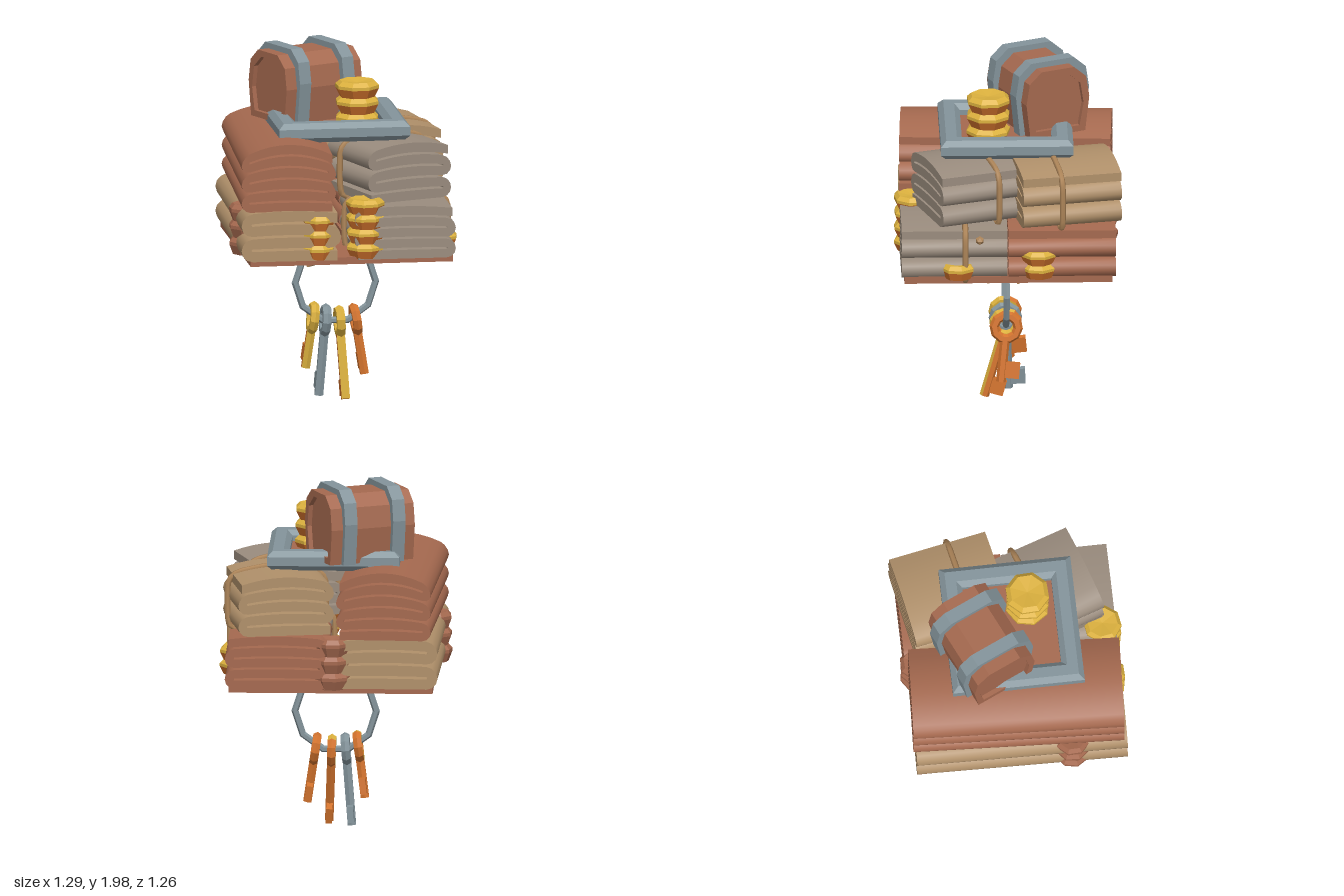
import * as THREE from 'three';
import { toCreasedNormals } from 'three/addons/utils/BufferGeometryUtils.js';

const mat = (name, color, side = THREE.FrontSide) => Object.assign(new THREE.MeshStandardMaterial({ color, side }), { name });
const brown = mat('brown cloth and wood', 0xa5694f);
const tan = mat('tan cloth', 0xb0906a);
const taupe = mat('taupe cloth', 0x9a8c7e);
const steel = mat('blue grey steel', 0x84949b);
const gold = mat('gold', 0xdcb13e);
const orange = mat('orange copper', 0xd4742e);
const rope = mat('rope', 0xb0875a);

function add(parent, name, geo, material, x = 0, y = 0, z = 0, ry = 0) {
  const m = new THREE.Mesh(geo, material);
  m.name = name;
  m.position.set(x, y, z);
  m.rotation.y = ry;
  parent.add(m);
  return m;
}

// Faceted copy of a geometry
function facet(geo) {
  const g = geo.index ? geo.toNonIndexed() : geo;
  g.computeVertexNormals();
  return g;
}

// Faces turned along dir take material 0, the rest material 1
function twoTone(geo, dir, limit) {
  const g = facet(geo), n = g.attributes.normal, v = new THREE.Vector3();
  g.clearGroups();
  for (let i = 0; i < n.count; i += 3) {
    v.fromBufferAttribute(n, i);
    g.addGroup(i, 3, v.dot(dir) > limit ? 0 : 1);
  }
  return g;
}

// Serpentine sheet in cross-section, extruded along z; top is arched
function foldedCloth(w, h, d, layers, arch) {
  const p = h / layers, t = p * 0.8, c = w / 2 - p / 2 - t / 2;
  const left = [], right = [];
  const put = (x, y, nx, ny) => {
    for (const [list, k] of [[left, t / 2], [right, -t / 2]]) {
      const px = x + nx * k, py = y + ny * k;
      list.push(new THREE.Vector2(px, py + arch * (1 - (2 * px / w) ** 2) * py / h));
    }
  };
  for (let i = 0; i < layers; i++) {
    const s = i % 2 ? -1 : 1, y = (i + 0.5) * p;
    const a = i === 0 ? -s * (w / 2 - 0.02) : -s * c;
    const b = i === layers - 1 ? s * (w / 2 - 0.02) : s * c;
    for (let k = 0; k <= 8; k++) put(a + (b - a) * k / 8, y, 0, s);
    if (i === layers - 1) break;
    for (let k = 1; k < 6; k++) {
      const ang = -Math.PI / 2 + Math.PI * k / 6, rx = s * Math.cos(ang), ry = Math.sin(ang);
      put(s * c + rx * p / 2, (i + 1) * p + ry * p / 2, -s * rx, -s * ry);
    }
  }
  const shape = new THREE.Shape([...right, ...left.reverse()]);
  const g = new THREE.ExtrudeGeometry(shape, { depth: d, bevelEnabled: false });
  return toCreasedNormals(g.translate(0, 0, -d / 2), 0.7);
}

// Rope loop round a bundle of width w and height h
function ropeLoop(w, h, arch) {
  const x = w / 2, pts = [[-x, 0.04], [-x, h - 0.05], [-x + 0.06, h + 0.01], [0, h + arch], [x - 0.06, h + 0.01],
    [x, h - 0.05], [x, 0.04], [x - 0.05, -0.01], [-x + 0.05, -0.01]].map(q => new THREE.Vector3(q[0], q[1], 0));
  return new THREE.TubeGeometry(new THREE.CatmullRomCurve3(pts, true, 'catmullrom', 0.3), 48, 0.017, 6, true);
}

// Eight-sided coins with flared undersides and a dished top
function coinStack(parent, name, x, y, z, r, count, h, mats) {
  const group = new THREE.Group();
  group.name = name;
  group.position.set(x, y, z);
  const pts = [[0, 0], [0.8, 0], [1, 0.55], [1, 0.75], [0.8, 1], [0, 0.85]].map(q => new THREE.Vector2(q[0] * r, q[1] * h));
  const geo = twoTone(new THREE.LatheGeometry(pts, 8), new THREE.Vector3(0, 1, 0), -0.1);
  for (let i = 0; i < count; i++) add(group, 'coin', geo, mats, 0, i * h, 0, 0.2 + i * 0.12);
  parent.add(group);
}

function squareFrame(outer, inner, height, bevel) {
  const o = outer - bevel, i = inner + bevel;
  const shape = new THREE.Shape([[-o, -o], [o, -o], [o, o], [-o, o]].map(q => new THREE.Vector2(...q)));
  shape.holes.push(new THREE.Path([[-i, -i], [-i, i], [i, i], [i, -i]].map(q => new THREE.Vector2(...q))));
  const g = new THREE.ExtrudeGeometry(shape, { depth: height - 2 * bevel, bevelSize: bevel, bevelThickness: bevel, bevelSegments: 1 });
  return g.rotateX(-Math.PI / 2).translate(0, bevel, 0);
}

// Chest cross-section, grown outward by e
function chestShape(e, hole) {
  const half = [[0.17, 0], [0.195, 0.2], [0.175, 0.32], [0.1, 0.385]];
  const outline = k => [...half.map(([z, y]) => [z + k, y > 0 ? y + k : y]),
    ...half.map(([z, y]) => [-z - k, y > 0 ? y + k : y]).reverse()].map(q => new THREE.Vector2(...q));
  const s = new THREE.Shape(outline(e));
  if (hole) s.holes.push(new THREE.Path(outline(-0.035).map(q => (q.y === 0 ? q.setY(0.035) : q)).reverse()));
  return s;
}
function chestSlice(e, x, width, hole) {
  const g = new THREE.ExtrudeGeometry(chestShape(e, hole), { depth: width, bevelEnabled: false });
  return g.translate(0, 0, -width / 2).rotateY(Math.PI / 2).translate(x, 0, 0);
}

export function createModel() {
  const model = new THREE.Group();
  model.name = 'bundle of goods';

  // Base board with steel corner plates beneath
  add(model, 'baseBoard', new THREE.BoxGeometry(1.14, 0.04, 1.16), brown, 0, 0.9, 0);
  for (const [x, z] of [[0.38, 0.38], [-0.33, -0.33], [0.1, -0.33]])
    add(model, 'basePlate', new THREE.BoxGeometry(0.16, 0.008, 0.14), steel, x, 0.877, z);
  for (const [x, z, len, ry] of [[0.25, 0.2, 0.6, 0.3], [0.25, -0.1, 0.6, -0.15], [-0.1, -0.2, 0.25, 0.5], [-0.1, -0.2, 0.25, -1], [0, 0.3, 0.7, 0.8]])
    add(model, 'baseRope', new THREE.CylinderGeometry(0.012, 0.012, len, 6).rotateZ(Math.PI / 2), rope, x, 0.876, z, ry);

  // Folded cloths: name, material, x, y, z, turn, width, height, depth, layers, arch, rope position or null
  const cloths = [
    ['lowerLongCloth', tan, -0.33, 0.9, 0, -0.02, 0.56, 0.28, 1.18, 4, 0.02, null],
    ['upperLongCloth', brown, -0.325, 1.18, -0.01, -0.05, 0.53, 0.32, 1.18, 6, 0.075, null],
    ['lowerFrontCloth', taupe, 0.3, 0.9, 0.3, 0, 0.57, 0.29, 0.59, 5, 0.02, -0.06],
    ['lowerBackCloth', brown, 0.3, 0.9, -0.3, 0, 0.58, 0.29, 0.6, 5, 0.02, null],
    ['upperFrontCloth', taupe, 0.265, 1.2, 0.21, 0.33, 0.52, 0.3, 0.5, 5, 0.04, -0.08],
    ['upperBackCloth', tan, 0.3, 1.2, -0.31, 0.19, 0.54, 0.3, 0.56, 5, 0.045, 0.06],
  ];
  for (const [name, m, x, y, z, turn, w, h, d, layers, arch, tie] of cloths) {
    const bundle = new THREE.Group();
    bundle.name = name;
    bundle.position.set(x, y, z);
    bundle.rotation.y = turn;
    add(bundle, 'foldedSheet', foldedCloth(w, h, d, layers, arch), m, 0, 0, 0, x < 0 ? Math.PI : 0);
    if (tie !== null) add(bundle, 'rope', ropeLoop(w + 0.01, h, arch), rope, 0, 0, tie);
    model.add(bundle);
  }
  add(model, 'ropeKnot', new THREE.IcosahedronGeometry(0.025, 0), rope, 0.59, 1.14, 0.16);

  // Square steel tray on top
  add(model, 'trayFrame', squareFrame(0.37, 0.25, 0.11, 0.03), steel, -0.008, 1.53, 0);
  add(model, 'trayPanel', new THREE.BoxGeometry(0.56, 0.04, 0.56), brown, -0.008, 1.56, 0);

  // Banded chest
  const chest = new THREE.Group();
  chest.name = 'chest';
  chest.position.set(-0.15, 1.58, -0.185);
  chest.rotation.y = 0.43;
  add(chest, 'chestBody', chestSlice(0, 0, 0.45), brown);
  for (const s of [-1, 1]) {
    add(chest, 'chestEndRim', chestSlice(0, s * 0.238, 0.026, true), brown);
    add(chest, 'chestBand', chestSlice(0.032, s * 0.145, 0.075), steel);
  }
  model.add(chest);

  // Coin stacks
  const coin = [gold, orange], wood = [brown, brown];
  coinStack(model, 'trayCoins', 0.1, 1.56, 0.1, 0.125, 3, 0.09, coin);
  coinStack(model, 'frontCoins', 0.085, 0.91, 0.52, 0.108, 4, 0.083, coin);
  coinStack(model, 'frontSmallCoins', -0.18, 0.91, 0.53, 0.09, 3, 0.082, coin);
  coinStack(model, 'sideCoin', 0.54, 0.91, 0.28, 0.1, 1, 0.085, coin);
  coinStack(model, 'sideCoins', 0.53, 0.91, -0.17, 0.105, 2, 0.08, coin);
  coinStack(model, 'sideWoodDiscs', -0.55, 0.9, 0.28, 0.1, 3, 0.095, wood);
  coinStack(model, 'backWoodDiscs', -0.01, 0.9, -0.53, 0.1, 3, 0.095, wood);

  // Key ring
  add(model, 'keyRing', facet(new THREE.TorusGeometry(0.227, 0.02, 6, 10)), steel, -0.008, 0.665, 0);

  // Keys: x, bow height, lean in x, lean in z, shank length, materials
  const keys = [
    [-0.135, 0.465, -0.13, 0.1, 0.29, coin],
    [-0.065, 0.45, -0.08, 0.04, 0.43, [steel, steel]],
    [0.015, 0.44, 0.04, -0.28, 0.435, coin],
    [0.105, 0.45, 0.15, -0.1, 0.31, [orange, orange]],
  ];
  const front = new THREE.Vector3(0, 0.3, 1).normalize();
  for (const [x, y, leanX, leanZ, len, mats] of keys) {
    const key = new THREE.Group();
    key.name = 'key';
    key.position.set(x, y, 0);
    key.rotation.set(leanZ, 0, leanX);
    add(key, 'keyBow', twoTone(new THREE.TorusGeometry(0.067, 0.027, 6, 10).rotateY(Math.PI / 2), front, -0.1), mats);
    add(key, 'keyShank', twoTone(new THREE.CylinderGeometry(0.027, 0.027, len - 0.07, 6).translate(0, -(len + 0.07) / 2, 0), front, 0), mats);
    add(key, 'keyBit', new THREE.BoxGeometry(0.035, 0.09, 0.085), mats[1], 0, -len + 0.07, -0.055);
    model.add(key);
  }
  return model;
}
